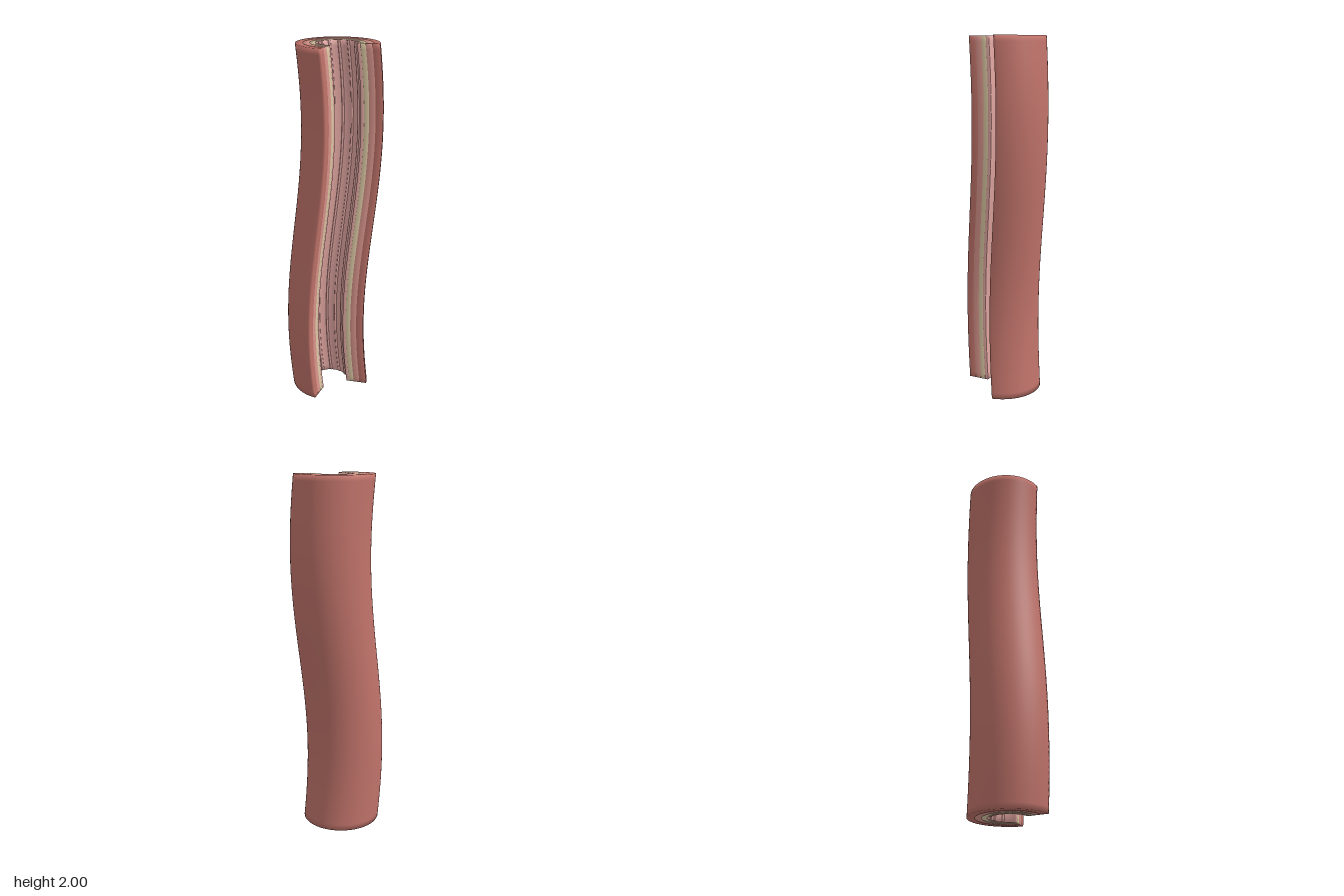
import * as THREE from 'three';

const HEIGHT = 2, ROWS = 64, ARC = 72;
const CENTER_Z = 0.039;
const START = THREE.MathUtils.degToRad(-40), SWEEP = THREE.MathUtils.degToRad(260);

// Sideways sway of the vessel's axis
const sway = (y) => 0.05 * Math.sin(2.7 * (y - 1));

// Point at a radius and angle around the axis; the opening faces +z
const around = (r, a, y) => new THREE.Vector3(
  sway(y) + r * Math.cos(a), y, CENTER_Z - r * Math.sin(a));

// One C-shaped wall, swept up the axis; shared corners give soft edges
function wallGeometry(inner, outer) {
  const pos = [], index = [], n = ARC + 1, ring = 2 * n;
  for (let j = 0; j <= ROWS; j++) {
    const y = (HEIGHT * j) / ROWS;
    for (let i = 0; i < ring; i++) {
      const k = i < n ? i : ring - 1 - i;
      pos.push(...around(i < n ? outer : inner, START + (SWEEP * k) / ARC, y).toArray());
    }
  }
  // Outer face, inner face and the two cut faces
  for (let j = 0; j < ROWS; j++) {
    for (let i = 0; i < ring; i++) {
      const a = j * ring + i, b = j * ring + ((i + 1) % ring);
      index.push(a, b, a + ring, b, b + ring, a + ring);
    }
  }
  // Top and bottom ends
  const top = ROWS * ring;
  for (let i = 0; i < ARC; i++) {
    const o = i, o1 = i + 1, p = ring - 1 - i, p1 = p - 1;
    index.push(top + o, top + o1, top + p, top + o1, top + p1, top + p);
    index.push(o, p, o1, o1, p, p1);
  }
  const g = new THREE.BufferGeometry();
  g.setAttribute('position', new THREE.Float32BufferAttribute(pos, 3));
  g.setIndex(index);
  g.computeVertexNormals();
  return g;
}

export function createModel() {
  const model = new THREE.Group();
  model.name = 'vesselSection';

  // Concentric layers, outside to inside
  const layers = [
    ['outerLayer', 0.18, 0.22, 0xc0736a],
    ['muscleLayer', 0.145, 0.18, 0xd9958c],
    ['elasticLayer', 0.117, 0.145, 0xdcc8a4],
    ['innerLining', 0.1, 0.117, 0xe0a5a0],
  ];
  for (const [name, inner, outer, color] of layers) {
    const mesh = new THREE.Mesh(wallGeometry(inner, outer), new THREE.MeshStandardMaterial({ color }));
    mesh.name = name;
    model.add(mesh);
  }

  // Fine lengthwise folds on the lining, with rounded ends
  const foldMaterial = new THREE.MeshStandardMaterial({ color: 0xe0a5a0 });
  const R = 0.007;
  const folds = new THREE.Group();
  folds.name = 'liningFolds';
  for (let k = 0; k <= 6; k++) {
    const angle = (k * Math.PI) / 6, points = [];
    for (let i = 0; i <= 16; i++) points.push(around(0.1, angle, R + ((HEIGHT - 2 * R) * i) / 16));
    const fold = new THREE.Mesh(
      new THREE.TubeGeometry(new THREE.CatmullRomCurve3(points), 64, R, 10), foldMaterial);
    fold.name = 'fold';
    folds.add(fold);
    for (const end of [points[0], points[16]]) {
      const tip = new THREE.Mesh(new THREE.SphereGeometry(R, 10, 8), foldMaterial);
      tip.name = 'foldTip';
      tip.position.copy(end);
      folds.add(tip);
    }
  }
  model.add(folds);
  return model;
}
